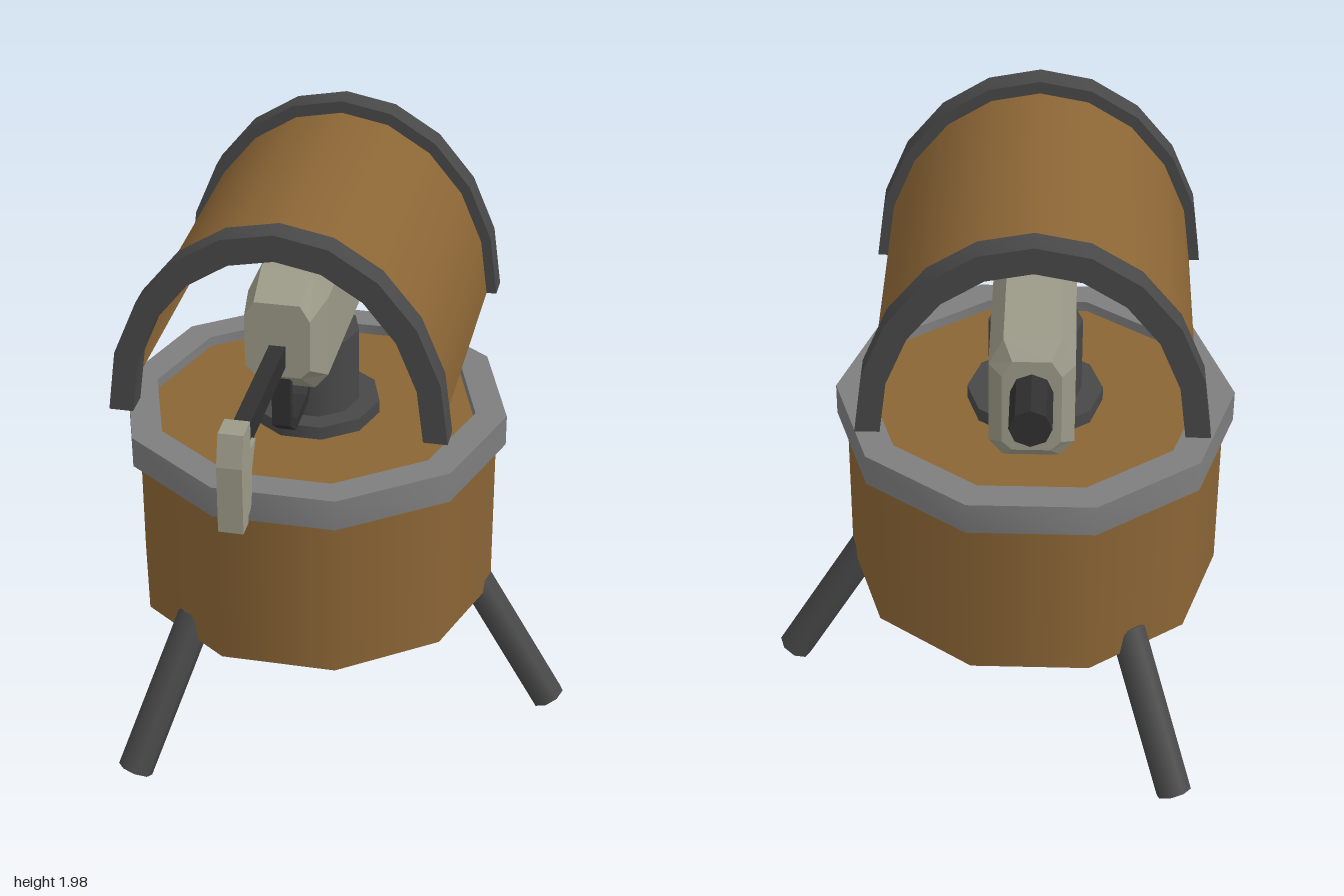
import * as THREE from 'three';
import { toCreasedNormals } from 'three/addons/utils/BufferGeometryUtils.js';

const mat = (color, extra = {}) => new THREE.MeshStandardMaterial({ color, ...extra });
const wood = mat(0x8b6535, { side: THREE.DoubleSide });
const dark = mat(0x484848);
const black = mat(0x303030, { flatShading: true });
const steel = mat(0x7e7e7e);
const beige = mat(0x9c9a88, { flatShading: true });

const CX = -0.12, CZ = -0.11; // pivot axis of the stand
const SIDES = 10, START = Math.PI / 2;

function add(parent, name, geo, material, x = 0, y = 0, z = 0) {
  const mesh = new THREE.Mesh(geo, material);
  mesh.name = name;
  mesh.position.set(x, y, z);
  parent.add(mesh);
  return mesh;
}

// upright ten-sided cylinder between two heights
function column(parent, name, r, y0, y1, material, open = false) {
  const geo = new THREE.CylinderGeometry(r, r, y1 - y0, SIDES, 1, open, START);
  return add(parent, name, geo, material, 0, (y0 + y1) / 2, 0);
}

// side outline given as [z, y], extruded across x and centred
function sidePlate(points, width) {
  const shape = new THREE.Shape(points.map(([z, y]) => new THREE.Vector2(z, y)));
  return new THREE.ExtrudeGeometry(shape, { depth: width, bevelEnabled: false })
    .translate(0, 0, -width / 2).rotateY(-Math.PI / 2);
}

// half-ellipse points, right to left
function arch(a, b, n = 10) {
  return Array.from({ length: n + 1 }, (_, i) => {
    const t = (i / n) * Math.PI;
    return new THREE.Vector2(a * Math.cos(t), b * Math.sin(t));
  });
}

// loft of chamfered rectangles: [z, halfWidth, yBottom, yTop, chamferX, chamferBottom, chamferTop]
function loft(sections) {
  const pos = [], idx = [], n = 8;
  for (const [z, w, y0, y1, c, cb, ct] of sections) {
    const ring = [[w, y0 + cb], [w, y1 - ct], [w - c, y1], [c - w, y1],
      [-w, y1 - ct], [-w, y0 + cb], [c - w, y0], [w - c, y0]];
    for (const [x, y] of ring) pos.push(x, y, z);
  }
  const last = (sections.length - 1) * n;
  for (let s = 0; s < last; s += n) {
    for (let i = 0; i < n; i++) {
      const j = (i + 1) % n;
      idx.push(s + i, s + j, s + n + i, s + j, s + n + j, s + n + i);
    }
  }
  for (let i = 1; i < n - 1; i++) idx.push(0, i + 1, i, last, last + i, last + i + 1);
  const geo = new THREE.BufferGeometry();
  geo.setAttribute('position', new THREE.Float32BufferAttribute(pos, 3));
  geo.setIndex(idx);
  const flat = geo.toNonIndexed();
  flat.computeVertexNormals();
  return flat;
}

function buildStand() {
  const stand = new THREE.Group();
  stand.name = 'stand';
  stand.position.set(CX, 0, CZ);

  // drum, open underneath, with a recessed lid
  column(stand, 'drum', 0.6, 0.47, 1.05, wood, true);
  column(stand, 'lid', 0.55, 1.08, 1.1, wood);

  // square-section rim
  const profile = [[0.53, 1.03], [0.632, 1.03], [0.632, 1.135], [0.53, 1.135], [0.53, 1.03]]
    .map(([r, y]) => new THREE.Vector2(r, y));
  add(stand, 'rim', toCreasedNormals(new THREE.LatheGeometry(profile, SIDES, START), 0.8), steel);

  // pedestal
  column(stand, 'pedestalFlange', 0.215, 1.09, 1.145, dark);
  column(stand, 'pedestal', 0.147, 1.14, 1.4, dark);

  // three splayed legs
  [0, 125, -125].forEach((deg) => {
    const holder = new THREE.Group();
    holder.name = 'legHolder';
    holder.rotation.y = THREE.MathUtils.degToRad(deg);
    stand.add(holder);
    const leg = add(holder, 'leg', new THREE.CylinderGeometry(0.058, 0.058, 0.57, 8), dark, 0.672, 0.282, 0);
    leg.rotation.z = Math.PI / 6;
  });
  return stand;
}

function buildCanopy() {
  const canopy = new THREE.Group();
  canopy.name = 'canopy';
  canopy.position.set(CX, 1.34, 0);

  // curved wooden sheet
  const sheet = new THREE.CylinderGeometry(1, 1, 0.92, 10, 1, true, -Math.PI / 2, Math.PI);
  sheet.rotateX(-Math.PI / 2).scale(0.492, 0.605, 1);
  add(canopy, 'canopySheet', sheet, wood, 0, 0, -0.1);

  // arched end frames
  const outline = [...arch(0.525, 0.645), ...arch(0.45, 0.56).reverse()];
  for (const z of [0.345, -0.63]) {
    const geo = new THREE.ExtrudeGeometry(new THREE.Shape(outline), { depth: 0.083, bevelEnabled: false });
    add(canopy, 'canopyFrame', toCreasedNormals(geo, 0.5), dark, 0, 0, z);
  }
  return canopy;
}

function buildMechanism() {
  const unit = new THREE.Group();
  unit.name = 'mechanism';
  unit.position.x = CX;

  // chamfered housing
  add(unit, 'housing', loft([
    [-0.825, 0.085, 1.43, 1.735, 0.03, 0.03, 0.05],
    [-0.785, 0.123, 1.385, 1.785, 0.042, 0.05, 0.085],
    [0.25, 0.123, 1.385, 1.785, 0.042, 0.05, 0.085],
    [0.4, 0.1, 1.5, 1.745, 0.03, 0.03, 0.05],
  ]), beige);

  // rear barrel
  const barrel = new THREE.CylinderGeometry(0.061, 0.061, 0.22, 8).rotateX(Math.PI / 2);
  add(unit, 'barrel', barrel, black, 0, 1.633, -0.89);

  // front rod and hand rest
  add(unit, 'rod', new THREE.BoxGeometry(0.05, 0.07, 0.56), black, 0, 1.57, 0.64);
  add(unit, 'handRest', sidePlate([
    [1, 1.33], [1, 1.545], [0.973, 1.64], [0.893, 1.64], [0.893, 1.55], [0.834, 1.55],
    [0.882, 1.48], [0.898, 1.373], [0.912, 1.357], [0.94, 1.351], [0.94, 1.33],
  ], 0.074), beige);

  // bent guard loop below the housing
  add(unit, 'guardLoop', sidePlate([
    [0.367, 1.5], [0.362, 1.305], [0.292, 1.25], [0.12, 1.25], [0.035, 1.325], [0.02, 1.41],
    [0.055, 1.41], [0.07, 1.34], [0.135, 1.285], [0.28, 1.285], [0.33, 1.322], [0.335, 1.5],
  ], 0.058), black);
  return unit;
}

export function createModel() {
  const model = new THREE.Group();
  model.name = 'mountedDevice';
  model.add(buildStand(), buildCanopy(), buildMechanism());
  return model;
}
